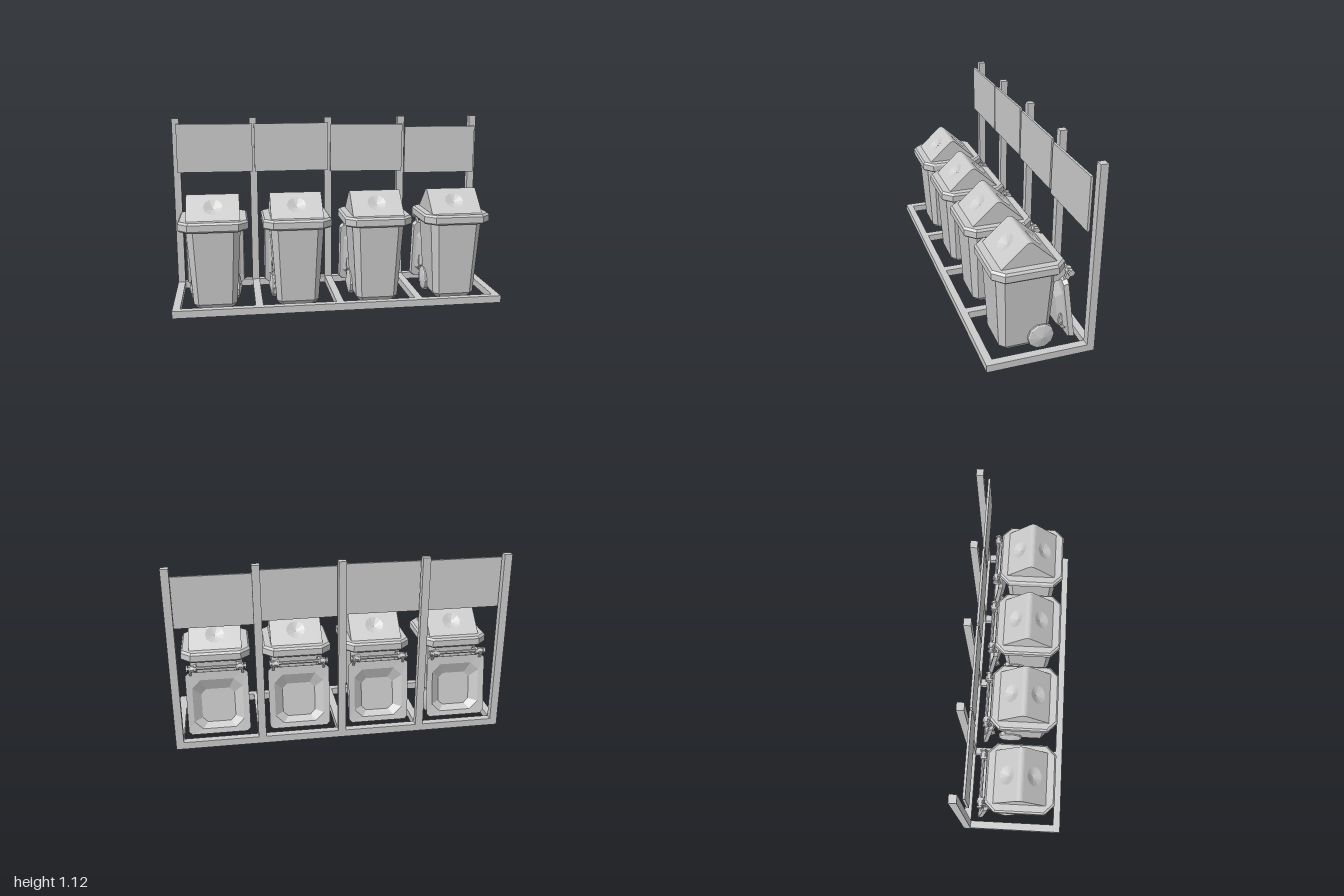
import * as THREE from 'three';

const mat = new THREE.MeshStandardMaterial({ color: 0xcccccc, flatShading: true });
const thin = new THREE.MeshStandardMaterial({ color: 0xcccccc, flatShading: true, side: THREE.DoubleSide });

function add(parent, name, geo, x = 0, y = 0, z = 0, material = mat) {
  const m = new THREE.Mesh(geo, material);
  m.name = name;
  m.position.set(x, y, z);
  parent.add(m);
  return m;
}

// Box given by its limits
function box(parent, name, x0, x1, y0, y1, z0, z1) {
  return add(parent, name, new THREE.BoxGeometry(x1 - x0, y1 - y0, z1 - z0),
    (x0 + x1) / 2, (y0 + y1) / 2, (z0 + z1) / 2);
}

// Closed solid through chamfered rectangles: [y, halfX, halfZ, chamfer, centreZ]
function loft(levels) {
  const rings = levels.map(([y, a, b, c, o = 0]) => [
    [a, b - c], [a, c - b], [a - c, -b], [c - a, -b],
    [-a, c - b], [-a, b - c], [c - a, b], [a - c, b],
  ].map(([x, z]) => [x, y, z + o]));
  const pos = [];
  const tri = (...p) => p.forEach((v) => pos.push(...v));
  for (let r = 0; r + 1 < rings.length; r++) {
    for (let i = 0; i < 8; i++) {
      const j = (i + 1) % 8, lo = rings[r], up = rings[r + 1];
      tri(lo[i], lo[j], up[j]);
      tri(lo[i], up[j], up[i]);
    }
  }
  const first = rings[0], last = rings[rings.length - 1];
  for (let i = 1; i < 7; i++) {
    tri(first[0], first[i + 1], first[i]);
    tri(last[0], last[i], last[i + 1]);
  }
  const g = new THREE.BufferGeometry();
  g.setAttribute('position', new THREE.Float32BufferAttribute(pos, 3));
  g.computeVertexNormals();
  return g;
}

// Plate drawn as [z, y] points, given a thickness along x
function sidePlate(points, thickness, hole) {
  const s = new THREE.Shape(points.map((p) => new THREE.Vector2(...p)));
  if (hole) s.holes.push(new THREE.Path(hole.map((p) => new THREE.Vector2(...p))));
  return new THREE.ExtrudeGeometry(s, { depth: thickness, bevelEnabled: false })
    .translate(0, 0, -thickness / 2).rotateY(-Math.PI / 2);
}

const rod = (r, len, sides) => new THREE.CylinderGeometry(r, r, len, sides).rotateZ(Math.PI / 2);

// Gabled top with a rounded ridge and a round recessed flap on each slope
function createHood() {
  const hood = new THREE.Group();
  hood.name = 'gabledTop';
  const w = 0.158, a = 0.75, r = 0.03, yc = 0.66, base = 0.55;
  const zt = r * Math.sin(a), yt = yc + r * Math.cos(a);
  const zb = zt + (yt - base) / Math.tan(a), len = (yt - base) / Math.sin(a);
  add(hood, 'ridge', new THREE.CylinderGeometry(r, r, 2 * w, 6, 1, true, Math.PI / 2 - a, 2 * a)
    .rotateZ(Math.PI / 2), 0, yc, 0, thin);
  const end = new THREE.Shape();
  end.moveTo(-zb, base).lineTo(zb, base);
  for (let i = 0; i <= 6; i++) {
    const t = a - (i / 6) * 2 * a;
    end.lineTo(r * Math.sin(t), yc + r * Math.cos(t));
  }
  const slope = new THREE.Shape();
  slope.moveTo(-w, 0).lineTo(w, 0).lineTo(w, len).lineTo(-w, len);
  const hole = new THREE.Path(), n = 10, rad = 0.058, cy = 0.11;
  for (let i = 0; i < n; i++) {
    const t = (i / n) * Math.PI * 2;
    hole[i ? 'lineTo' : 'moveTo'](rad * Math.cos(t), cy + rad * Math.sin(t));
  }
  hole.closePath();
  slope.holes.push(hole);
  const flap = new THREE.CircleGeometry(rad, n);
  flap.attributes.position.setZ(0, -0.02);
  for (const s of [1, -1]) {
    add(hood, 'gableEnd', new THREE.ShapeGeometry(end).rotateY(s * Math.PI / 2), s * w, 0, 0, thin);
    const side = new THREE.Group();
    side.name = 'slope';
    const panel = new THREE.Group();
    panel.position.set(0, base, zb);
    panel.rotation.x = a - Math.PI / 2;
    add(panel, 'slopePanel', new THREE.ShapeGeometry(slope), 0, 0, 0, thin);
    add(panel, 'flap', flap, 0, cy, 0, thin);
    side.add(panel);
    if (s < 0) side.rotation.y = Math.PI;
    hood.add(side);
  }
  hood.position.z = 0.045;
  return hood;
}

function createBin() {
  const bin = new THREE.Group();
  bin.name = 'bin';
  // Tapered body and overhanging rim
  add(bin, 'body', loft([
    [0.012, 0.11, 0.125, 0.025, 0.045], [0.04, 0.13, 0.145, 0.03, 0.045],
    [0.495, 0.16, 0.172, 0.04, 0.047], [0.505, 0.16, 0.172, 0.04, 0.047],
  ]));
  add(bin, 'rim', loft([
    [0.495, 0.198, 0.198, 0.055, 0.046], [0.505, 0.207, 0.207, 0.058, 0.046],
    [0.543, 0.207, 0.207, 0.058, 0.046], [0.556, 0.197, 0.197, 0.055, 0.046],
  ]));
  bin.add(createHood());

  // Opened flat lid hanging at the back, dished toward the body
  const lid = add(bin, 'hangingLid', loft([
    [0.042, 0.1, 0.105, 0.03, 0.03], [0.004, 0.15, 0.155, 0.05, 0.01],
    [0, 0.187, 0.197, 0.02], [0.028, 0.18, 0.19, 0.02],
    [0.03, 0.158, 0.163, 0.05, 0.01], [0.06, 0.112, 0.117, 0.03, 0.03],
  ]), 0, 0.245, -0.197);
  lid.rotation.x = Math.PI / 2 + 0.14;

  // Hinge rod with collars, brackets and lugs
  add(bin, 'hingeRod', rod(0.011, 0.35, 8), 0, 0.475, -0.19);
  add(bin, 'axle', rod(0.012, 0.25, 8), 0, 0.079, -0.042);
  const bracket = sidePlate([[-0.1, 0.41], [-0.135, 0.415], [-0.185, 0.45], [-0.21, 0.465],
    [-0.205, 0.49], [-0.17, 0.493], [-0.1, 0.45]], 0.016);
  const lug = sidePlate([[-0.15, 0.42], [-0.172, 0.42], [-0.205, 0.465], [-0.2, 0.49], [-0.175, 0.49]], 0.014);
  const catchPlate = sidePlate([[-0.165, 0.1], [-0.187, 0.1], [-0.172, 0.2], [-0.155, 0.2], [-0.142, 0.135]],
    0.016, [[-0.165, 0.115], [-0.152, 0.135], [-0.166, 0.142]]);
  const wheel = new THREE.LatheGeometry([[0, -0.025], [0.066, -0.025], [0.078, -0.016], [0.078, 0.01],
    [0.07, 0.016], [0, 0.03]].map((p) => new THREE.Vector2(...p)), 10);
  for (const s of [1, -1]) {
    add(bin, 'hingeBracket', bracket, s * 0.125, 0, 0);
    add(bin, 'lidLug', lug, s * 0.155, 0, 0);
    add(bin, 'hingeCollar', rod(0.022, 0.022, 6), s * 0.14, 0.475, -0.19);
    add(bin, 'hingeCap', rod(0.02, 0.012, 6), s * 0.172, 0.475, -0.19);
    add(bin, 'lidCatch', catchPlate, s * 0.132, 0, 0);
    add(bin, 'wheel', wheel, s * 0.135, 0.079, -0.042).rotation.z = -s * Math.PI / 2;
  }
  return bin;
}

export function createModel() {
  const model = new THREE.Group();
  model.name = 'binStation';

  // Ground frame and posts
  box(model, 'frontRail', -1, 1, 0.007, 0.051, 0.268, 0.312);
  box(model, 'backRail', -1, 1, 0.007, 0.051, -0.312, -0.268);
  for (const x of [-0.977, -0.49, -0.003, 0.485, 0.977]) {
    box(model, 'crossRail', x - 0.023, x + 0.023, 0.007, 0.051, -0.268, 0.268);
    box(model, 'post', x - 0.023, x + 0.023, 0.051, 1.125, -0.312, -0.268);
  }

  // Sign boards: [centre x, centre y, tilt]
  const boards = [[-0.735, 0.937, -0.004], [-0.246, 0.937, 0.003], [0.247, 0.926, -0.009], [0.741, 0.906, -0.003]];
  for (const [x, y, tilt] of boards) {
    add(model, 'signBoard', new THREE.BoxGeometry(0.476, 0.307, 0.014), x, y, -0.236).rotation.z = tilt;
  }

  for (const x of [-0.75, -0.25, 0.245, 0.738]) {
    const bin = createBin();
    bin.position.x = x;
    model.add(bin);
  }
  return model;
}
